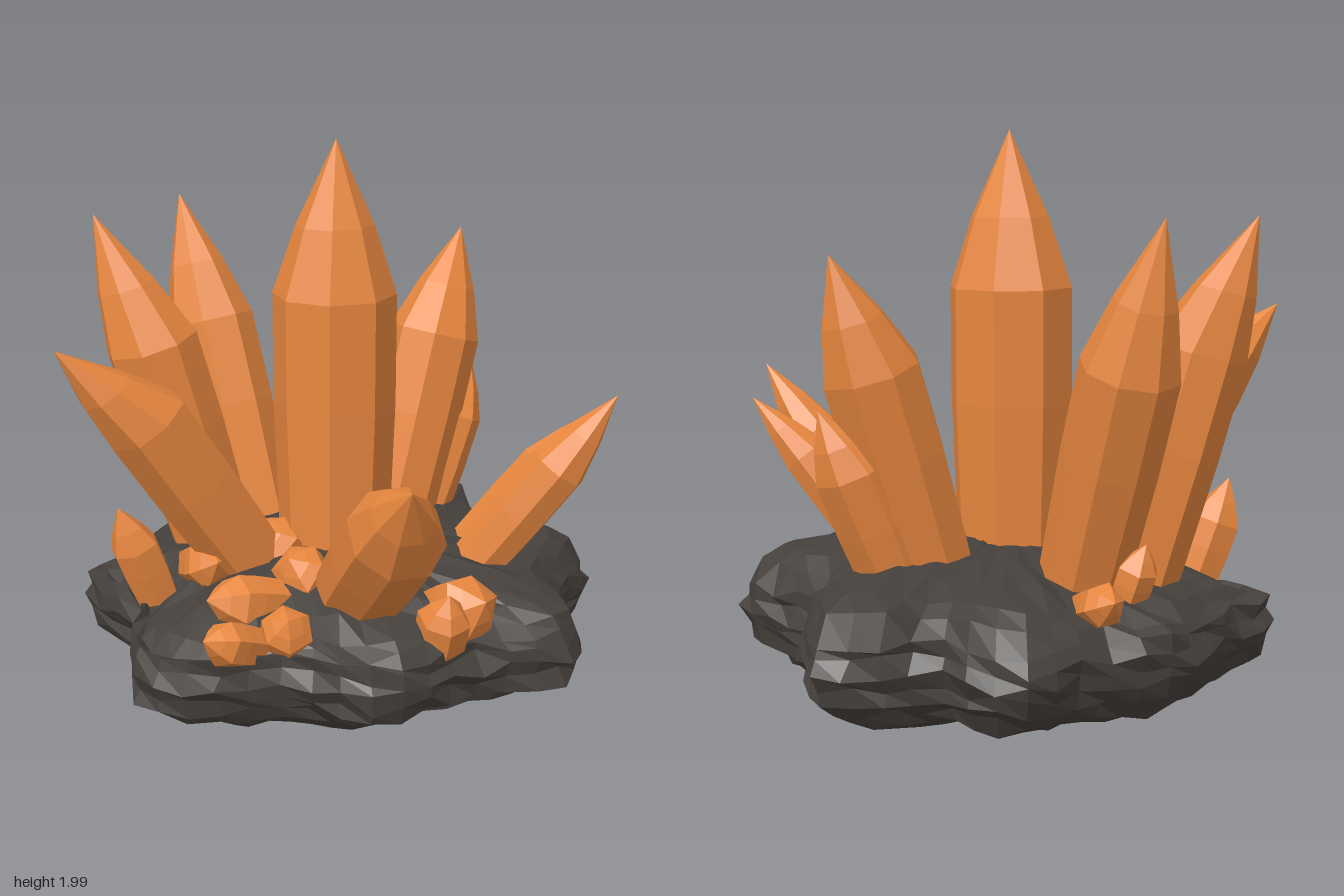
import * as THREE from 'three';

const orange = new THREE.MeshStandardMaterial({ color: 0xe8873f, flatShading: true });
const dark = new THREE.MeshStandardMaterial({ color: 0x45403c, flatShading: true });

// repeatable value in -1..1
const noise = (a, b) => {
  const s = Math.sin(a * 127.1 + b * 311.7) * 43758.5453;
  return (s - Math.floor(s)) * 2 - 1;
};

// rock: a flattened lathe whose rings follow a lobed outline, roughened in layers
function makeRock() {
  const outline = [ // x, z, counter-clockwise from the front
    [0, 0.91], [0.22, 0.8], [0.32, 0.6], [0.42, 0.5], [0.62, 0.42], [0.71, 0.25], [0.7, 0.1],
    [0.75, -0.05], [0.84, -0.2], [0.89, -0.35], [0.78, -0.45], [0.65, -0.53], [0.55, -0.7],
    [0.52, -0.85], [0.37, -0.87], [0.25, -0.82], [0.1, -0.75], [0, -0.77], [-0.1, -0.86],
    [-0.22, -0.92], [-0.43, -0.95], [-0.52, -0.78], [-0.55, -0.62], [-0.72, -0.56],
    [-0.87, -0.45], [-0.83, -0.2], [-0.89, 0.05], [-0.82, 0.3], [-0.71, 0.5], [-0.68, 0.65],
    [-0.5, 0.67], [-0.38, 0.63], [-0.25, 0.7], [-0.12, 0.83],
  ].map(([x, z]) => new THREE.Vector3(x, 0, z));
  const profile = [ // scale, height
    [0, 0.01], [0.3, 0.02], [0.55, 0.055], [0.74, 0.1], [0.85, 0.14], [0.9, 0.19], [0.96, 0.23],
    [0.97, 0.28], [1, 0.33], [0.98, 0.38], [0.97, 0.42], [0.92, 0.46], [0.85, 0.495], [0.7, 0.535],
    [0.5, 0.57], [0.25, 0.6], [0, 0.61],
  ].map(p => new THREE.Vector2(...p));
  const segments = 56, rows = profile.length;
  const edge = new THREE.CatmullRomCurve3(outline, true).getSpacedPoints(segments);
  const geometry = new THREE.LatheGeometry(profile, segments);
  const pos = geometry.attributes.position;
  for (let k = 0; k < pos.count; k++) {
    const i = Math.floor(k / rows) % segments, j = k % rows;
    const { x: s, y } = profile[j], e = edge[i];
    // lobes soften towards the middle of the top and underside
    const round = THREE.MathUtils.lerp(0.78 / e.length(), 1, 0.2 + 0.8 * s);
    const layer = 0.015 * noise(Math.floor(i / 2), j) + 0.02 * noise(i, j) - 0.01;
    const undercut = e.x > 0 && y < 0.2 ? 0.9 : 1;
    const f = s * round * (1 + layer);
    const x = e.x * f * undercut, z = e.z * f;
    const tilt = y > 0.45 ? -0.07 * z : 0;
    const rough = 0.02 * s * noise(i + 77, j);
    pos.setXYZ(k, x, Math.max(0, y + tilt + rough), z);
  }
  const mesh = new THREE.Mesh(geometry, dark);
  mesh.name = 'rockBase';
  return mesh;
}

// crystal: tapered prism from base to shoulder, then a slightly bulging point
function makeCrystal(name, base, shoulder, tip, radius, sides = 8, wobble = 0.04) {
  const a = new THREE.Vector3(...base), b = new THREE.Vector3(...shoulder), c = new THREE.Vector3(...tip);
  const turn = new THREE.Quaternion().setFromUnitVectors(
    new THREE.Vector3(0, 1, 0), b.clone().sub(a).normalize());
  const rings = [ // from the tip down: centre, radius
    [c, 0],
    [b.clone().lerp(c, 0.45), 0.63],
    [b, 1],
    [a.clone().lerp(b, 0.62), 1],
    [a, 0.9],
  ];
  const geometry = new THREE.CylinderGeometry(1, 1, 1, sides, rings.length - 1, true);
  const pos = geometry.attributes.position, v = new THREE.Vector3();
  for (let k = 0; k < pos.count; k++) {
    const i = (k % (sides + 1)) % sides, [centre, scale] = rings[Math.floor(k / (sides + 1))];
    const uneven = 1 + wobble * noise(i, base[0] * 10 + base[2]);
    v.fromBufferAttribute(pos, k).setY(0).multiplyScalar(radius * scale * uneven);
    v.applyQuaternion(turn).add(centre);
    pos.setXYZ(k, v.x, v.y, v.z);
  }
  const mesh = new THREE.Mesh(geometry, orange);
  mesh.name = name;
  return mesh;
}

// short rough crystal given only by its base and tip
function makeShard(base, tip, radius, index) {
  const shoulder = base.map((p, i) => p + (tip[i] - p) * 0.62);
  return makeCrystal('smallCrystal' + index, base, shoulder, tip, radius, 6, 0.12);
}

export function createModel() {
  const group = new THREE.Group();
  group.name = 'crystalCluster';
  group.add(makeRock());

  // large crystals: name, base, shoulder, tip, radius
  [
    ['centreCrystal', [-0.04, 0.45, -0.03], [-0.05, 1.47, -0.04], [-0.04, 2, -0.04], 0.215, 8, 0.01],
    ['backCrystal', [-0.11, 0.45, -0.36], [-0.12, 1.22, -0.6], [-0.14, 1.6, -0.75], 0.17],
    ['lowBackCrystal', [-0.12, 0.4, -0.46], [-0.1, 0.9, -0.66], [-0.1, 1.1, -0.78], 0.135],
    ['frontRightCrystal', [-0.44, 0.42, 0.19], [-0.55, 1.27, 0.39], [-0.7, 1.72, 0.51], 0.17],
    ['rightCrystal', [-0.44, 0.45, -0.01], [-0.72, 1.25, 0], [-0.86, 1.72, 0.03], 0.165],
    ['frontCrystal', [-0.13, 0.45, 0.23], [-0.22, 1.11, 0.65], [-0.28, 1.39, 0.94], 0.15],
    ['leftCrystal', [0.24, 0.47, 0.13], [0.62, 0.87, 0.28], [0.84, 1.1, 0.43], 0.165],
    ['backLeftCrystal', [0.22, 0.43, -0.35], [0.46, 0.85, -0.59], [0.58, 1.06, -0.75], 0.09],
    ['outerBackLeftCrystal', [0.33, 0.43, -0.29], [0.59, 0.9, -0.51], [0.73, 1.16, -0.64], 0.105],
  ].forEach(args => group.add(makeCrystal(...args)));

  // small crystals around the foot: base, tip, radius
  [
    [[-0.29, 0.38, 0.56], [-0.33, 0.78, 0.7], 0.09],
    [[0.52, 0.46, -0.03], [0.72, 0.57, -0.03], 0.12],
    [[0.6, 0.36, 0.07], [0.68, 0.62, 0.1], 0.085],
    [[0.12, 0.5, 0.2], [0.14, 0.64, 0.33], 0.1],
    [[0.12, 0.48, 0.36], [0.09, 0.56, 0.64], 0.095],
    [[0.26, 0.4, 0.45], [0.37, 0.55, 0.52], 0.09],
    [[0.24, 0.42, 0.56], [0.26, 0.52, 0.78], 0.075],
    [[-0.12, 0.5, 0.14], [-0.1, 0.66, 0.28], 0.12],
    [[-0.64, 0.48, -0.1], [-0.85, 0.56, -0.13], 0.075],
    [[-0.62, 0.46, 0.06], [-0.68, 0.68, 0.1], 0.07],
    [[-0.27, 0.51, 0.42], [-0.06, 0.6, 0.48], 0.09],
  ].forEach((args, i) => group.add(makeShard(...args, i + 1)));

  return group;
}
